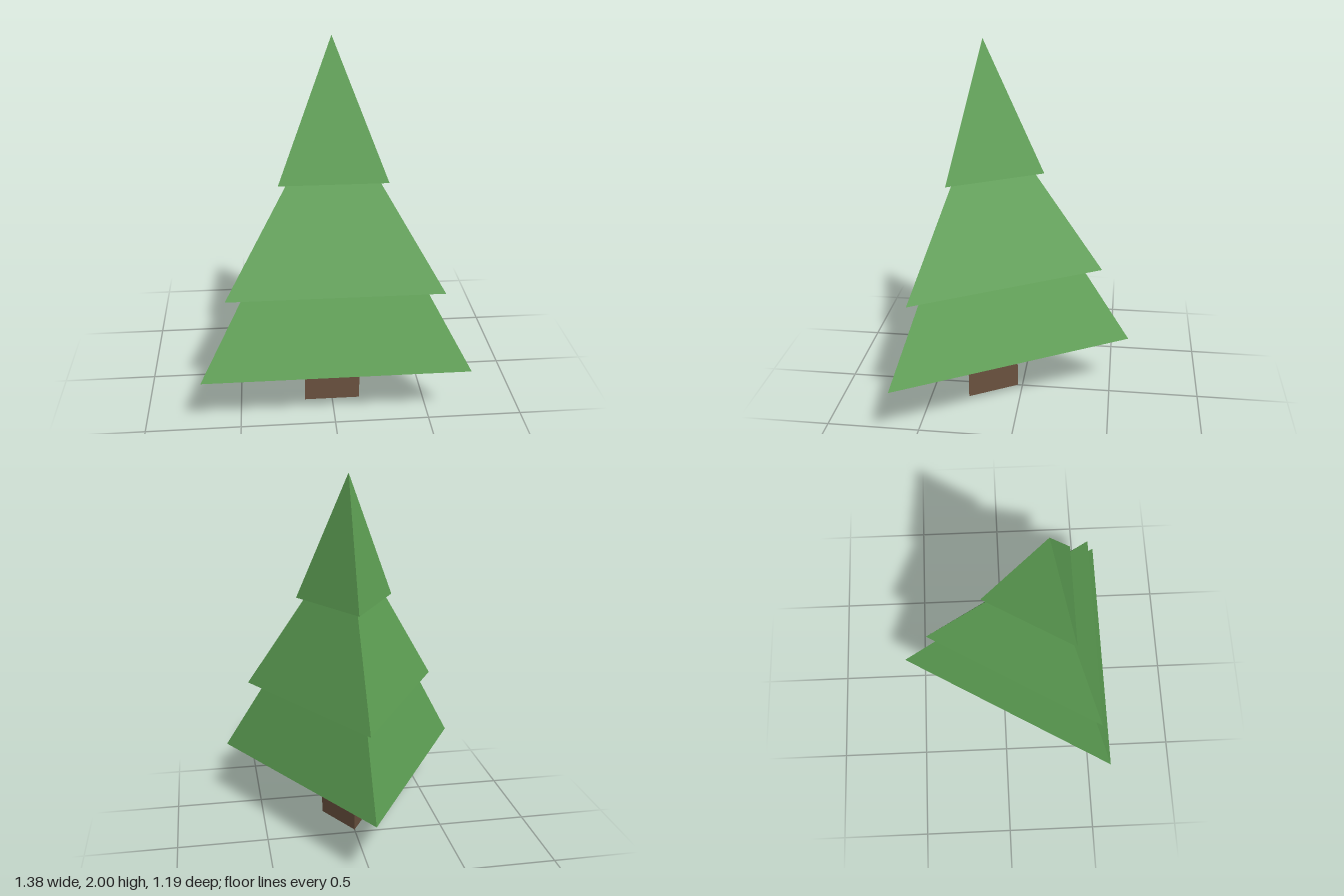
import * as THREE from 'three';

const AXIS_Z = 0.2; // the vertical axis of the three-sided tree

export function createModel() {
  const group = new THREE.Group();
  const leaf = new THREE.MeshStandardMaterial({ color: 0x5fa255, flatShading: true });
  const bark = new THREE.MeshStandardMaterial({ color: 0x6b523f, flatShading: true });

  // Three-sided solid with one flat face to the front and one edge to the back
  function addPrism(name, topRadius, radius, bottom, top, material) {
    const geometry = topRadius > 0
      ? new THREE.CylinderGeometry(topRadius, radius, top - bottom, 3)
      : new THREE.ConeGeometry(radius, top - bottom, 3);
    geometry.rotateY(Math.PI);
    const mesh = new THREE.Mesh(geometry, material);
    mesh.name = name;
    mesh.position.set(0, (bottom + top) / 2, AXIS_Z);
    group.add(mesh);
  }

  // Trunk
  addPrism('trunk', 0.173, 0.173, 0, 0.348, bark);

  // Foliage tiers; each lower tip is hidden inside the tier above
  addPrism('lowerFoliage', 0, 0.795, 0.348, 1.6, leaf);
  addPrism('middleFoliage', 0, 0.635, 0.763, 1.69, leaf);
  addPrism('upperFoliage', 0, 0.315, 1.303, 2, leaf);

  return group;
}
